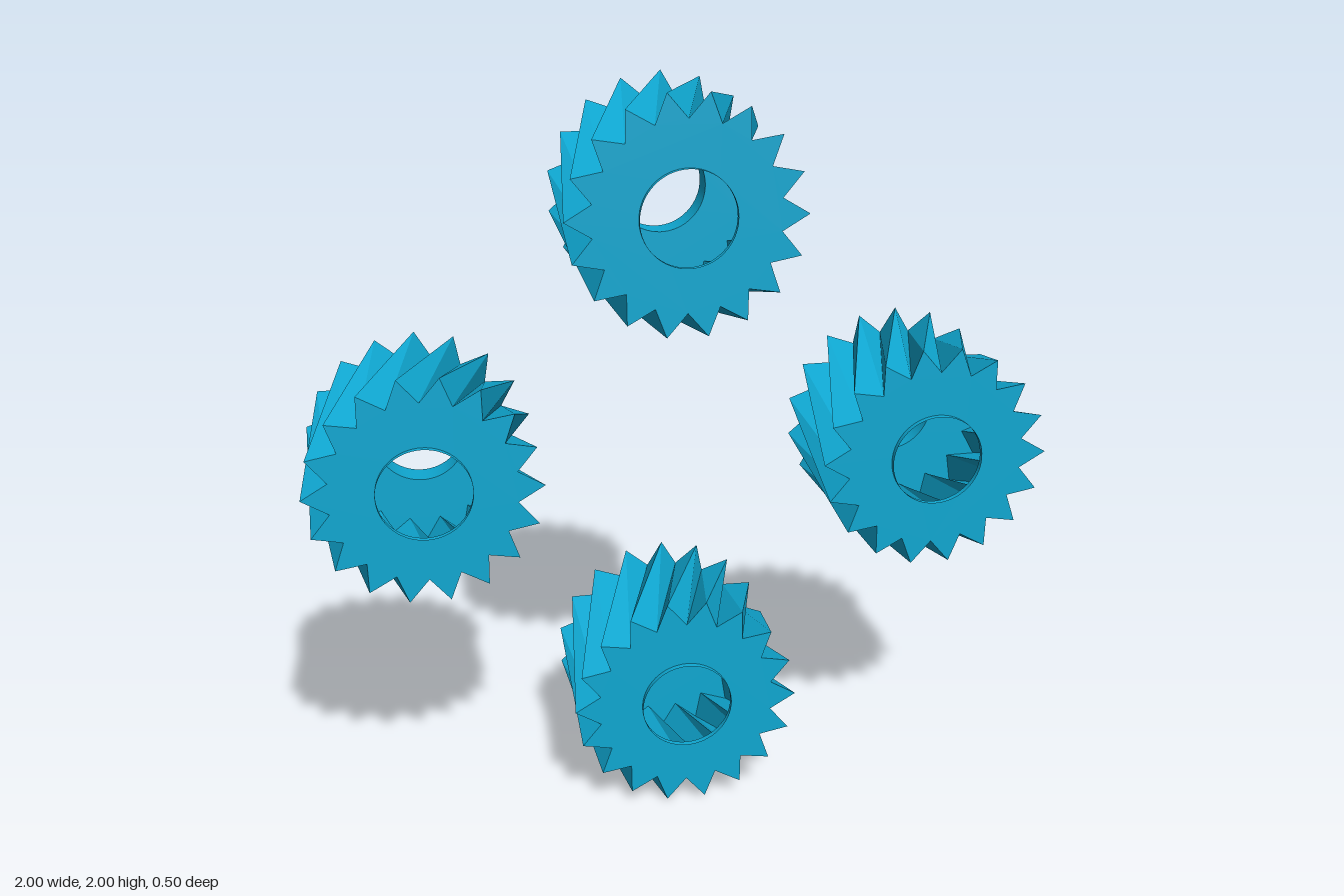
import * as THREE from 'three';

const TEETH = 18, TIP = 0.3125, ROOT = 0.245, BORE = 0.125;
const FRONT = 0.235, BACK = -0.172, END = 0.252;
const TWIST = -Math.PI / 6; // rotation of the back face relative to the front

// Zigzag outline of the gear, tips at even indices
function outline(turn) {
  const points = [];
  for (let i = 0; i < TEETH * 2; i++) {
    const a = (i * Math.PI) / TEETH + turn;
    const r = i % 2 ? ROOT : TIP;
    points.push(new THREE.Vector2(r * Math.cos(a), r * Math.sin(a)));
  }
  return points;
}

// Straight-ruled helical flanks between the two outlines
function flankGeometry() {
  const front = outline(0), back = outline(TWIST);
  const positions = [];
  const put = (p, z) => positions.push(p.x, p.y, z);
  for (let i = 0; i < front.length; i++) {
    const j = (i + 1) % front.length;
    put(front[i], FRONT); put(back[i], BACK); put(back[j], BACK);
    put(front[i], FRONT); put(back[j], BACK); put(front[j], FRONT);
  }
  const geometry = new THREE.BufferGeometry();
  geometry.setAttribute('position', new THREE.Float32BufferAttribute(positions, 3));
  geometry.computeVertexNormals();
  return geometry;
}

// Toothed end face with a round bore
function faceGeometry(turn, z) {
  const shape = new THREE.Shape(outline(turn));
  shape.holes.push(new THREE.Path().absarc(0, 0, BORE, 0, Math.PI * 2, true));
  return new THREE.ShapeGeometry(shape, 32).translate(0, 0, z);
}

// Thin open collar around the bore
function collarGeometry(z0, z1) {
  return new THREE.CylinderGeometry(BORE, BORE, z1 - z0, 64, 1, true)
    .rotateX(Math.PI / 2)
    .translate(0, 0, (z0 + z1) / 2);
}

export function createModel() {
  const model = new THREE.Group();
  model.name = 'helicalGearSet';
  const color = 0x0fa8d2;
  const flat = new THREE.MeshStandardMaterial({ color, flatShading: true, side: THREE.DoubleSide });
  const smooth = new THREE.MeshStandardMaterial({ color, side: THREE.DoubleSide });

  const parts = [
    ['teeth', flankGeometry(), flat],
    ['frontFace', faceGeometry(0, FRONT), flat],
    ['backFace', faceGeometry(TWIST, BACK), flat],
    ['frontCollar', collarGeometry(FRONT, END), smooth],
    ['backCollar', collarGeometry(-END, BACK), smooth],
  ];

  // Four identical gears in a diamond
  const offset = 1 - TIP;
  const places = { topGear: [0, 1], bottomGear: [0, -1], leftGear: [1, 0], rightGear: [-1, 0] };
  for (const [name, [x, y]] of Object.entries(places)) {
    const gear = new THREE.Group();
    gear.name = name;
    gear.position.set(x * offset, 1 + y * offset, 0);
    for (const [partName, geometry, material] of parts) {
      const mesh = new THREE.Mesh(geometry, material);
      mesh.name = partName;
      gear.add(mesh);
    }
    model.add(gear);
  }
  return model;
}
